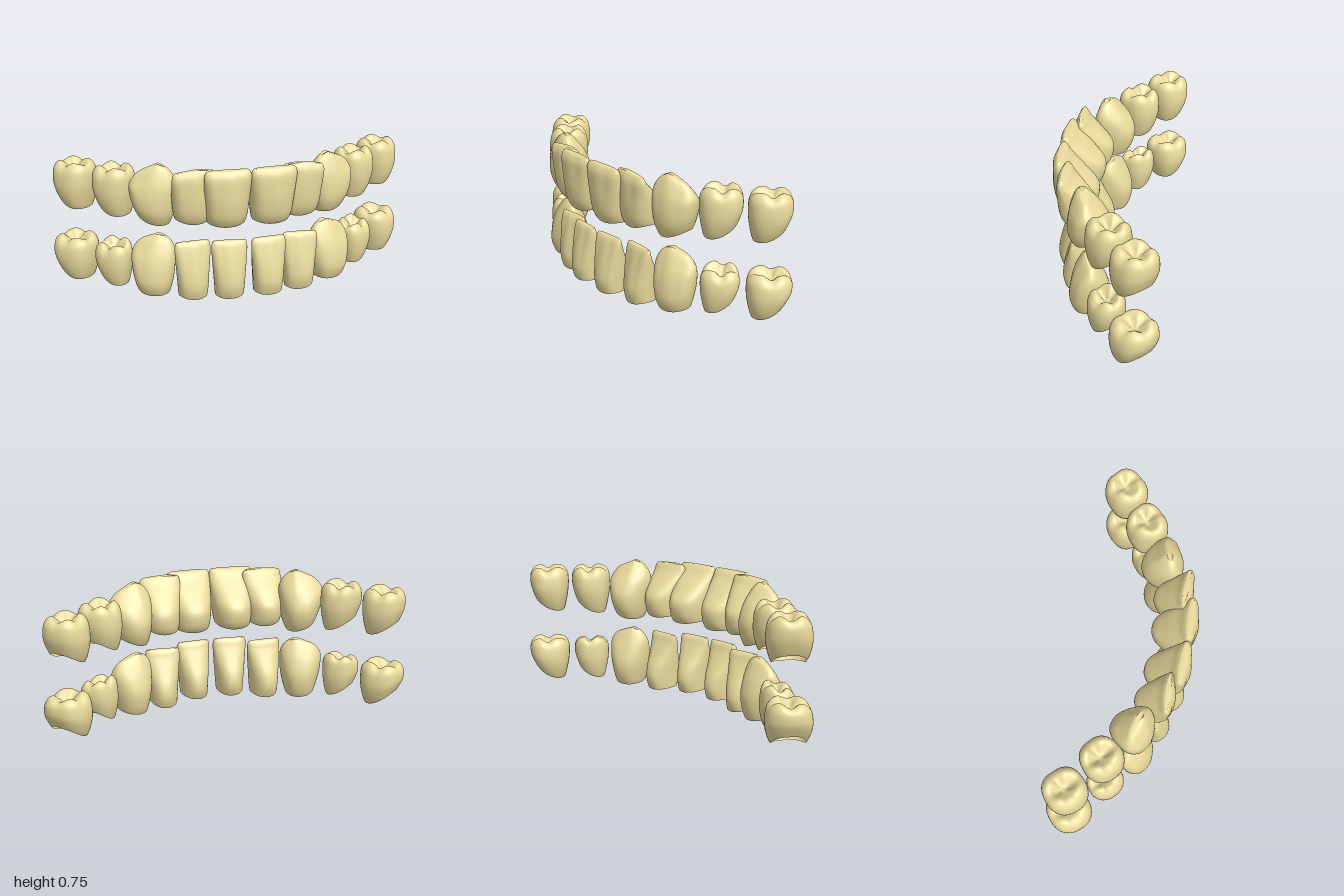
import * as THREE from 'three';

const AROUND = 44, ROWS = 32;

// Crown profiles from rim to top: [height, width, outer face, inner face],
// width as a share of the full width, faces as a share of the depth (0 inner, 1 outer).
const PROFILES = {
  upperIncisor: [
    [0, 0.82, 0.84, 0.14], [0.15, 0.91, 0.95, 0.03], [0.4, 0.97, 1, 0.03], [0.65, 1, 1, 0.3],
    [0.85, 1, 0.98, 0.57], [0.95, 0.96, 0.93, 0.68], [1, 0.84, 0.87, 0.76]],
  lowerIncisor: [
    [0, 0.82, 0.92, 0.12], [0.2, 0.87, 1, 0.02], [0.42, 0.92, 0.97, 0.08], [0.65, 0.97, 0.89, 0.27],
    [0.85, 1, 0.8, 0.44], [0.95, 0.97, 0.74, 0.51], [1, 0.88, 0.67, 0.58]],
  upperCanine: [
    [0, 0.66, 0.86, 0.16], [0.17, 0.86, 0.98, 0.03], [0.4, 0.97, 1, 0], [0.65, 1, 0.95, 0.14],
    [0.84, 0.95, 0.86, 0.34], [0.95, 0.78, 0.78, 0.48], [1, 0.52, 0.7, 0.57]],
  lowerCanine: [
    [0, 0.7, 0.9, 0.14], [0.17, 0.86, 1, 0.03], [0.4, 0.97, 0.98, 0], [0.65, 1, 0.88, 0.11],
    [0.84, 0.96, 0.75, 0.25], [0.95, 0.8, 0.65, 0.35], [1, 0.56, 0.57, 0.42]],
  back: [
    [0, 0.74, 0.87, 0.14], [0.2, 0.88, 0.96, 0.05], [0.48, 0.99, 1, 0], [0.78, 1, 0.97, 0.03],
    [0.93, 0.89, 0.89, 0.11], [1, 0.68, 0.78, 0.22], [0.97, 0.42, 0.66, 0.34], [0.92, 0.14, 0.55, 0.45]],
};

// x, z: centre; turn: outward yaw in degrees; w, d: width and depth; y0, y1: rim and tip;
// rise: how far the rim climbs; low: where along the width the rim is lowest
const TEETH = {
  upper: [
    { name: 'CentralIncisor', type: 'upperIncisor', x: 0.121, z: 0.2, turn: 2, w: 0.255, d: 0.25, y0: 0.425, y1: 0.746, rise: 0.03, low: 0, taper: 0.3 },
    { name: 'LateralIncisor', type: 'upperIncisor', x: 0.298, z: 0.163, turn: -2, w: 0.235, d: 0.215, y0: 0.435, y1: 0.745, rise: 0.04, low: -0.05, taper: 0.35, peak: 0.01 },
    { name: 'Canine', type: 'upperCanine', x: 0.482, z: 0.073, turn: 17, w: 0.26, d: 0.23, y0: 0.413, y1: 0.757, rise: 0.06, low: -0.15, taper: 0.35, peak: 0.055 },
    { name: 'Premolar', type: 'back', x: 0.672, z: -0.05, turn: 43, w: 0.225, d: 0.225, y0: 0.44, y1: 0.716, rise: 0.06, low: -0.2, taper: 0.15, cusp: 0.035 },
    { name: 'Molar', type: 'back', x: 0.866, z: -0.2, turn: 47, w: 0.225, d: 0.23, y0: 0.447, y1: 0.711, rise: 0.06, low: -0.2, taper: 0.08, cusp: 0.03 },
  ],
  lower: [
    { name: 'CentralIncisor', type: 'lowerIncisor', x: 0.106, z: 0.205, turn: 4, w: 0.197, d: 0.21, y0: 0.014, y1: 0.337, rise: 0.02, low: 0, taper: 0.35 },
    { name: 'LateralIncisor', type: 'lowerIncisor', x: 0.3, z: 0.153, turn: -3, w: 0.2, d: 0.205, y0: 0, y1: 0.328, rise: 0.03, low: -0.05, taper: 0.35 },
    { name: 'Canine', type: 'lowerCanine', x: 0.491, z: 0.08, turn: 18, w: 0.245, d: 0.215, y0: 0.01, y1: 0.355, rise: 0.04, low: -0.05, taper: 0.3, peak: 0.04 },
    { name: 'Premolar', type: 'back', x: 0.69, z: -0.04, turn: 43, w: 0.205, d: 0.185, y0: 0.035, y1: 0.283, rise: 0.06, low: -0.2, taper: 0.15, cusp: 0.035, tilt: 0.018 },
    { name: 'Molar', type: 'back', x: 0.879, z: -0.203, turn: 47, w: 0.235, d: 0.24, y0: 0.03, y1: 0.281, rise: 0.07, low: -0.2, taper: 0.08, cusp: 0.03, tilt: 0.005 },
  ],
};

const bend = (value, power) => Math.sign(value) * Math.pow(Math.abs(value), power);
const groove = (value, width) => Math.exp(-((value / width) ** 2));

// Hollow crown, open at the rim, lofted from rounded-square sections
function crownGeometry(tooth, side) {
  const rows = PROFILES[tooth.type];
  const heights = new THREE.SplineCurve(rows.map(r => new THREE.Vector2(r[0], 0)));
  const shape = new THREE.CatmullRomCurve3(
    rows.map(r => new THREE.Vector3(r[1], r[2], r[3])), false, 'catmullrom', 0.5);
  const { w, d, y0, y1, rise, low, taper, peak = 0, cusp = 0, tilt = 0 } = tooth;
  const turn = THREE.MathUtils.degToRad(tooth.turn);
  const cos = Math.cos(turn), sin = Math.sin(turn);
  const positions = [], index = [];

  const addPoint = (u, v, t, topness) => {
    const p = 2 * u / w, q = 2 * v / d;
    let y = y0 + t * (y1 - y0);
    // the rim is lowest at one point and climbs around the crown
    const climb = ((p / 2 - low) / 0.5) ** 2 + 0.4 * q * q;
    y += rise * climb * Math.max(0, 1 - t) ** 2;
    // pointed edge, with its tip a little towards the middle of the arch
    y -= peak * Math.abs(p + 0.25) * topness;
    // crossing grooves part the cusps and fade towards the walls
    const fade = 1 - 0.65 * Math.min(1, p * p + q * q);
    y -= topness * (tilt * q + cusp * fade * Math.max(groove(q, 0.28), groove(p - 0.08, 0.24)));
    positions.push(side * (tooth.x + u * cos + v * sin), y, tooth.z - u * sin + v * cos);
  };

  let last;
  for (let i = 0; i <= ROWS; i++) {
    const k = i / ROWS;
    const t = heights.getPoint(k).x;
    const s = shape.getPoint(k);
    const topness = k > 0.72 && cusp ? 1 : THREE.MathUtils.smoothstep(t, 0.45, 1);
    const mid = ((s.y + s.z) / 2 - 0.5) * d;
    const half = (s.y - s.z) / 2 * d;
    for (let j = 0; j < AROUND; j++) {
      const a = j / AROUND * Math.PI * 2;
      const sv = bend(Math.sin(a), 0.8);
      // sections narrow towards the inner side
      const narrow = 1 - taper * (s.y - s.z) * Math.max(0, 0.3 - sv) / 1.3;
      const u = bend(Math.cos(a), 0.8) * s.x * w / 2 * narrow;
      // faint lobes on the outer face of the front teeth
      const lobe = cusp ? 0 : 0.003 * Math.max(0, sv) * Math.cos(u / w * 15) * Math.sin(Math.PI * k);
      addPoint(u, mid + sv * half + lobe, t, topness);
    }
    last = { mid, t, topness };
  }
  addPoint(0, last.mid, last.t, last.topness);

  const face = (a, b, c) => (side > 0 ? index.push(a, b, c) : index.push(a, c, b));
  for (let j = 0; j < AROUND; j++) {
    const n = (j + 1) % AROUND;
    for (let i = 0; i < ROWS; i++) {
      const r = i * AROUND, up = r + AROUND;
      face(r + j, up + j, r + n);
      face(r + n, up + j, up + n);
    }
    const top = ROWS * AROUND;
    face(top + j, top + AROUND, top + n);
  }

  const geometry = new THREE.BufferGeometry();
  geometry.setAttribute('position', new THREE.Float32BufferAttribute(positions, 3));
  geometry.setIndex(index);
  geometry.computeVertexNormals();
  return geometry;
}

export function createModel() {
  const model = new THREE.Group();
  model.name = 'teeth';
  const enamel = new THREE.MeshStandardMaterial({ color: 0xe9da9c, side: THREE.DoubleSide });

  // two arches, each mirrored left and right
  for (const [arch, teeth] of Object.entries(TEETH)) {
    const group = new THREE.Group();
    group.name = arch + 'Arch';
    for (const tooth of teeth) {
      for (const side of [1, -1]) {
        const mesh = new THREE.Mesh(crownGeometry(tooth, side), enamel);
        mesh.name = (side > 0 ? 'left' : 'right') + tooth.name;
        group.add(mesh);
      }
    }
    model.add(group);
  }
  return model;
}
